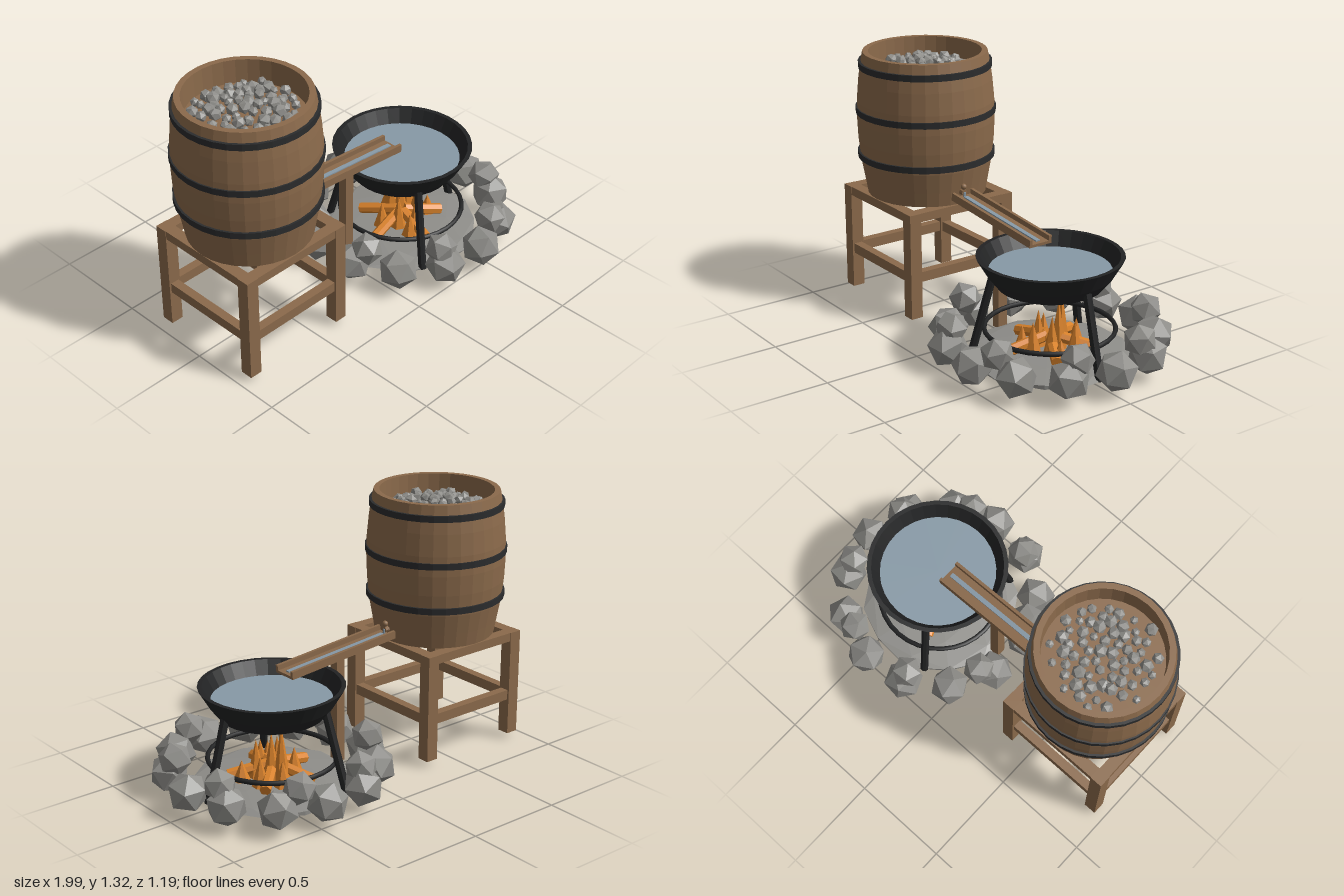
import * as THREE from 'three';

const mat = (name, color) => Object.assign(new THREE.MeshStandardMaterial({ color }), { name });

// Unshared vertices give faceted normals
function flat(g) {
  const f = g.index ? g.toNonIndexed() : g;
  f.computeVertexNormals();
  return f;
}

function lathe(points, sides) {
  return flat(new THREE.LatheGeometry(points.map(p => new THREE.Vector2(...p)), sides));
}

export function createModel() {
  const root = new THREE.Group();
  root.name = 'campfireStill';
  const wood = mat('wood', 0x8b6a4b);
  const iron = mat('iron', 0x2b2c2d);
  const black = mat('blackIron', 0x222324);
  const stone = mat('stone', 0x8e8d89);
  const water = mat('water', 0x8799a6);
  const fire = mat('fire', 0xd9822b);

  let seed = 7;
  const rnd = () => (seed = (seed * 16807) % 2147483647) / 2147483647;

  const group = (name, x = 0, y = 0, z = 0) => {
    const g = new THREE.Group();
    g.name = name;
    g.position.set(x, y, z);
    root.add(g);
    return g;
  };
  const add = (parent, name, geo, material, x = 0, y = 0, z = 0) => {
    const m = new THREE.Mesh(geo, material);
    m.name = name;
    m.position.set(x, y, z);
    parent.add(m);
    return m;
  };
  const box = (parent, name, w, h, d, x, y, z, material = wood) =>
    add(parent, name, new THREE.BoxGeometry(w, h, d), material, x, y, z);
  // Round bar between two points
  const bar = (parent, name, a, b, r, material, sides = 8) => {
    const p = new THREE.Vector3(...a), d = new THREE.Vector3(...b).sub(p);
    const m = add(parent, name, flat(new THREE.CylinderGeometry(r, r, d.length(), sides)), material);
    m.position.copy(p).addScaledVector(d, 0.5);
    m.quaternion.setFromUnitVectors(new THREE.Vector3(0, 1, 0), d.normalize());
    return m;
  };
  const rock = (parent, name, r, x, y, z) => {
    const m = add(parent, name, new THREE.IcosahedronGeometry(r, 0), stone, x, y, z);
    m.rotation.set(rnd() * 0.6, rnd() * 6.28, rnd() * 0.6);
    return m;
  };

  // Barrel with an open top and three hoops
  const barrel = group('barrel', -0.645);
  add(barrel, 'barrelBody', lathe([
    [0, 0.585], [0.305, 0.585], [0.318, 0.66], [0.336, 0.76], [0.347, 0.87], [0.351, 0.97],
    [0.349, 1.07], [0.339, 1.18], [0.328, 1.26], [0.316, 1.32], [0.287, 1.32], [0.283, 1.2], [0, 1.2],
  ], 32), wood);
  for (const [y, r] of [[0.79, 0.351], [1.022, 0.357], [1.256, 0.339]]) {
    add(barrel, 'hoop', lathe([
      [r - 0.03, y - 0.016], [r, y - 0.016], [r, y + 0.016], [r - 0.03, y + 0.016],
    ], 32), iron);
  }

  // Loose gravel heaped inside the barrel
  const gravel = group('gravel', -0.645);
  for (let i = 0; i < 65; i++) {
    const a = i * 2.39996, d = 0.25 * Math.sqrt((i + 0.5) / 65) * (0.9 + 0.15 * rnd());
    rock(gravel, 'pebble', 0.02 + 0.016 * rnd(),
      Math.cos(a) * d, 1.21 + 0.05 * (1 - d / 0.28) + 0.02 * rnd(), Math.sin(a) * d);
  }

  // Square stand with upper and lower rails
  const stand = group('stand', -0.64);
  for (const s of [-1, 1]) {
    for (const t of [-1, 1]) box(stand, 'standLeg', 0.065, 0.555, 0.065, s * 0.28, 0.3075, t * 0.28);
    box(stand, 'topRail', 0.5, 0.045, 0.06, 0, 0.5625, s * 0.28);
    box(stand, 'topRail', 0.06, 0.045, 0.5, s * 0.28, 0.5625, 0);
    box(stand, 'lowerRail', 0.5, 0.052, 0.045, 0, 0.243, s * 0.28);
    box(stand, 'lowerRail', 0.045, 0.052, 0.5, s * 0.28, 0.243, 0);
  }

  // Sloping trough carrying a trickle of water
  const trough = group('trough', 0, 0.61, 0);
  trough.rotation.z = -0.088;
  box(trough, 'troughFloor', 0.65, 0.014, 0.13, 0, -0.013, 0);
  for (const s of [-1, 1]) box(trough, 'troughSide', 0.65, 0.04, 0.016, 0, 0, s * 0.057);
  box(trough, 'trickle', 0.6, 0.006, 0.024, 0.005, -0.003, 0, water);
  box(root, 'troughPost', 0.05, 0.545, 0.05, -0.005, 0.3025, 0);

  // Tap at the foot of the barrel
  const tap = group('tap');
  bar(tap, 'spout', [-0.36, 0.652, 0], [-0.305, 0.652, 0], 0.016, wood);
  bar(tap, 'tapPin', [-0.312, 0.64, 0], [-0.312, 0.68, 0], 0.007, wood);
  add(tap, 'tapKnob', new THREE.SphereGeometry(0.015, 10, 8), wood, -0.312, 0.682, 0);
  bar(tap, 'tapStream', [-0.306, 0.63, 0], [-0.306, 0.655, 0], 0.007, water);

  // Wide pan filled with water
  const pan = group('pan', 0.4);
  add(pan, 'panBowl', lathe([
    [0, 0.352], [0.14, 0.356], [0.2, 0.366], [0.256, 0.392], [0.302, 0.45], [0.355, 0.54],
    [0.333, 0.54], [0.286, 0.455], [0.24, 0.405], [0, 0.38],
  ], 32), black);
  const surface = add(pan, 'panWater', new THREE.CircleGeometry(0.294, 32), water, 0, 0.47, 0);
  surface.rotation.x = -Math.PI / 2;

  // Tripod with a brace ring
  const tripod = group('tripod', 0.4);
  for (let i = 0; i < 3; i++) {
    const a = i * Math.PI * 2 / 3, c = Math.cos(a), s = Math.sin(a);
    bar(tripod, 'tripodLeg', [c * 0.275, 0.44, s * 0.275], [c * 0.382, 0.03, s * 0.382], 0.021, black);
  }
  const ring = add(tripod, 'braceRing', new THREE.TorusGeometry(0.315, 0.012, 6, 32), black, 0, 0.17, 0);
  ring.rotation.x = Math.PI / 2;

  // Hearth slab and two courses of stones
  const hearth = group('hearth', 0.4);
  const slab = add(hearth, 'hearthSlab', flat(new THREE.IcosahedronGeometry(1, 1).scale(0.41, 0.034, 0.41)),
    stone, 0, 0.036, 0);
  slab.rotation.y = 0.3;
  for (let i = 0; i < 13; i++) {
    const a = i * Math.PI * 2 / 13;
    rock(hearth, 'lowerStone', 0.102, Math.cos(a) * 0.5, 0.127, Math.sin(a) * 0.5);
  }
  for (let i = 0; i < 8; i++) {
    const a = (i + 0.5) * Math.PI / 4;
    rock(hearth, 'upperStone', 0.083, Math.cos(a) * 0.48, 0.215, Math.sin(a) * 0.48);
  }

  // Burning logs and pointed flames
  const blaze = group('blaze', 0.4);
  for (let i = 0; i < 5; i++) {
    const a = i * Math.PI * 2 / 5 + 0.5, c = Math.cos(a), s = Math.sin(a);
    bar(blaze, 'log', [c * 0.22, 0.085, s * 0.22], [c * 0.02, 0.13, s * 0.02], 0.028, fire, 7);
  }
  const flames = [
    [0, -0.07, 0.35], [0.03, -0.03, 0.31], [-0.05, 0.03, 0.25], [0.07, 0.04, 0.26], [0, 0.1, 0.22],
    [-0.1, -0.04, 0.2], [0.12, -0.06, 0.22], [0.04, -0.13, 0.2], [-0.06, 0.12, 0.19], [0.15, 0.05, 0.17],
  ];
  for (const [x, z, top] of flames) {
    const h = top - 0.06;
    add(blaze, 'flame', flat(new THREE.ConeGeometry(0.045, h, 6)), fire, x, 0.06 + h / 2, z);
  }
  return root;
}
